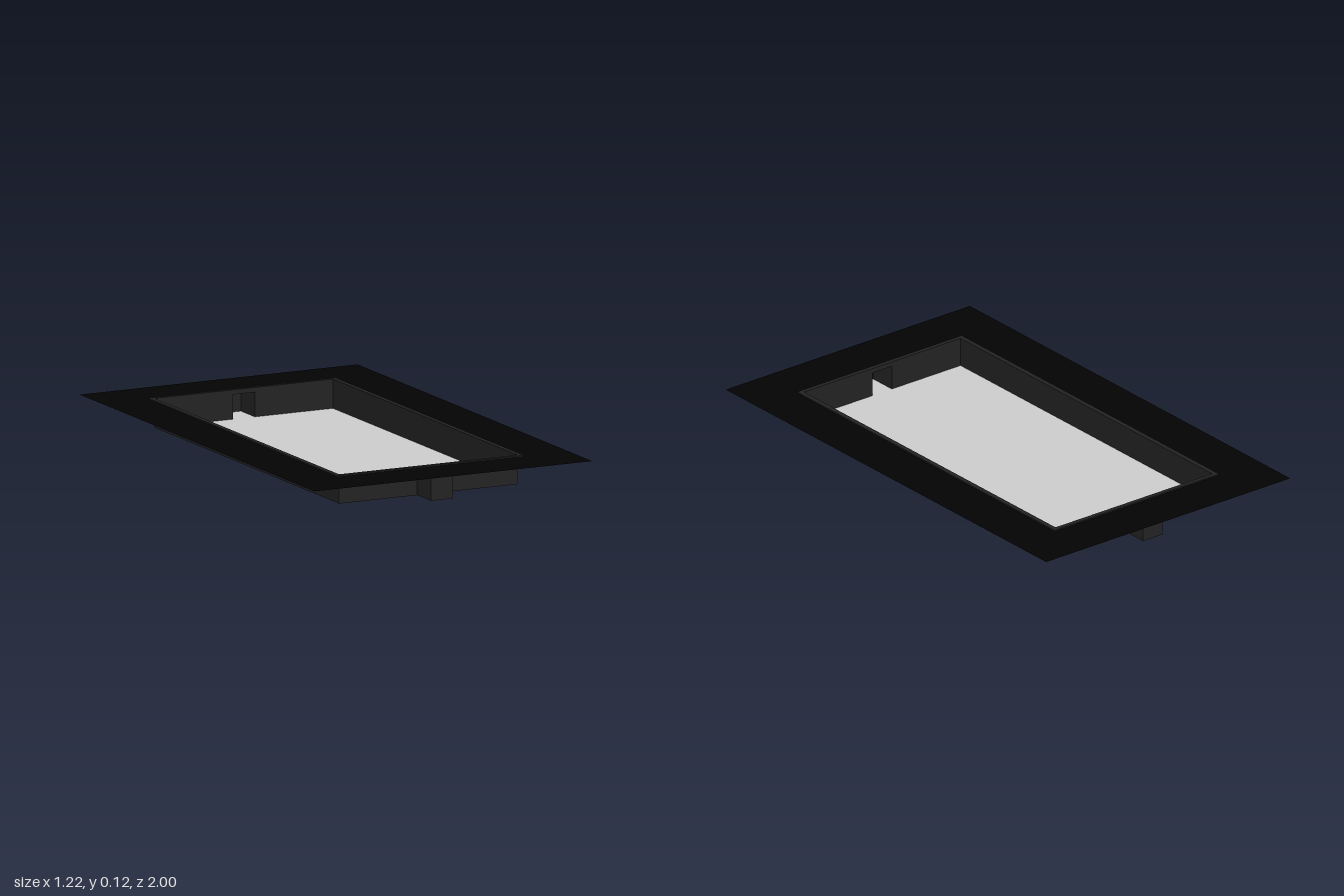
import * as THREE from 'three';

const W = 0.39, L = 0.785;          // half width and half length of the tray
const RIM_Y = 0.107, RIM_H = 0.01;  // rim height above ground and thickness
const TAB_W = 0.048, TAB_H = 0.098, TAB_L = 0.118;

const black = new THREE.MeshStandardMaterial({ color: 0x030303, side: THREE.DoubleSide });
const dark = new THREE.MeshStandardMaterial({ color: 0x222222, side: THREE.DoubleSide });
const grey = new THREE.MeshStandardMaterial({ color: 0xcccccc, side: THREE.DoubleSide });

function outline(Type, x, z) {
  return new Type([[-x, -z], [x, -z], [x, z], [-x, z]].map(([a, b]) => new THREE.Vector2(a, b)));
}

// rectangle with a rectangular hole, drawn in the ground plane
function ring(x, z, holeX, holeZ) {
  const shape = outline(THREE.Shape, x, z);
  shape.holes.push(outline(THREE.Path, holeX, holeZ));
  return shape;
}

function add(parent, name, geometry, material, x = 0, y = 0, z = 0) {
  const mesh = new THREE.Mesh(geometry, material);
  mesh.name = name;
  mesh.position.set(x, y, z);
  parent.add(mesh);
  return mesh;
}

const flat = (w, l) => new THREE.PlaneGeometry(w, l).rotateX(-Math.PI / 2);
const sideways = (l, h) => new THREE.PlaneGeometry(l, h).rotateY(Math.PI / 2);

// end wall with a notch that opens into the tab
function endWallShape() {
  return new THREE.Shape([
    [-W, 0], [-TAB_W, 0], [-TAB_W, TAB_H], [TAB_W, TAB_H],
    [TAB_W, 0], [W, 0], [W, RIM_Y], [-W, RIM_Y],
  ].map(([x, y]) => new THREE.Vector2(x, y)));
}

export function createModel() {
  const model = new THREE.Group();
  model.name = 'recessedTray';

  // thin surround and raised rim
  add(model, 'surroundPlate',
    new THREE.ShapeGeometry(ring(0.608, 1, W, L)).rotateX(-Math.PI / 2),
    black, 0, RIM_Y + RIM_H / 2);
  add(model, 'rim',
    new THREE.ExtrudeGeometry(ring(0.41, 0.803, W, L), { depth: RIM_H, bevelEnabled: false })
      .rotateX(-Math.PI / 2),
    dark, 0, RIM_Y);

  // tray floor and long walls
  add(model, 'floor', flat(2 * W, 2 * L), grey);
  for (const s of [1, -1]) {
    add(model, s > 0 ? 'leftWall' : 'rightWall', sideways(2 * L, RIM_Y), dark, s * W, RIM_Y / 2);
  }

  // end walls, each with a hollow tab
  for (const s of [1, -1]) {
    const end = new THREE.Group();
    end.name = s > 0 ? 'frontEnd' : 'backEnd';
    end.rotation.y = s > 0 ? 0 : Math.PI;
    const mid = L + TAB_L / 2;
    add(end, 'endWall', new THREE.ShapeGeometry(endWallShape()), dark, 0, 0, L);
    add(end, 'tabFloor', flat(2 * TAB_W, TAB_L), grey, 0, 0, mid);
    add(end, 'tabTop', flat(2 * TAB_W, TAB_L), dark, 0, TAB_H, mid);
    add(end, 'tabEnd', new THREE.PlaneGeometry(2 * TAB_W, TAB_H), dark, 0, TAB_H / 2, L + TAB_L);
    for (const t of [1, -1]) {
      add(end, 'tabSide', sideways(TAB_L, TAB_H), dark, t * TAB_W, TAB_H / 2, mid);
    }
    model.add(end);
  }
  return model;
}
